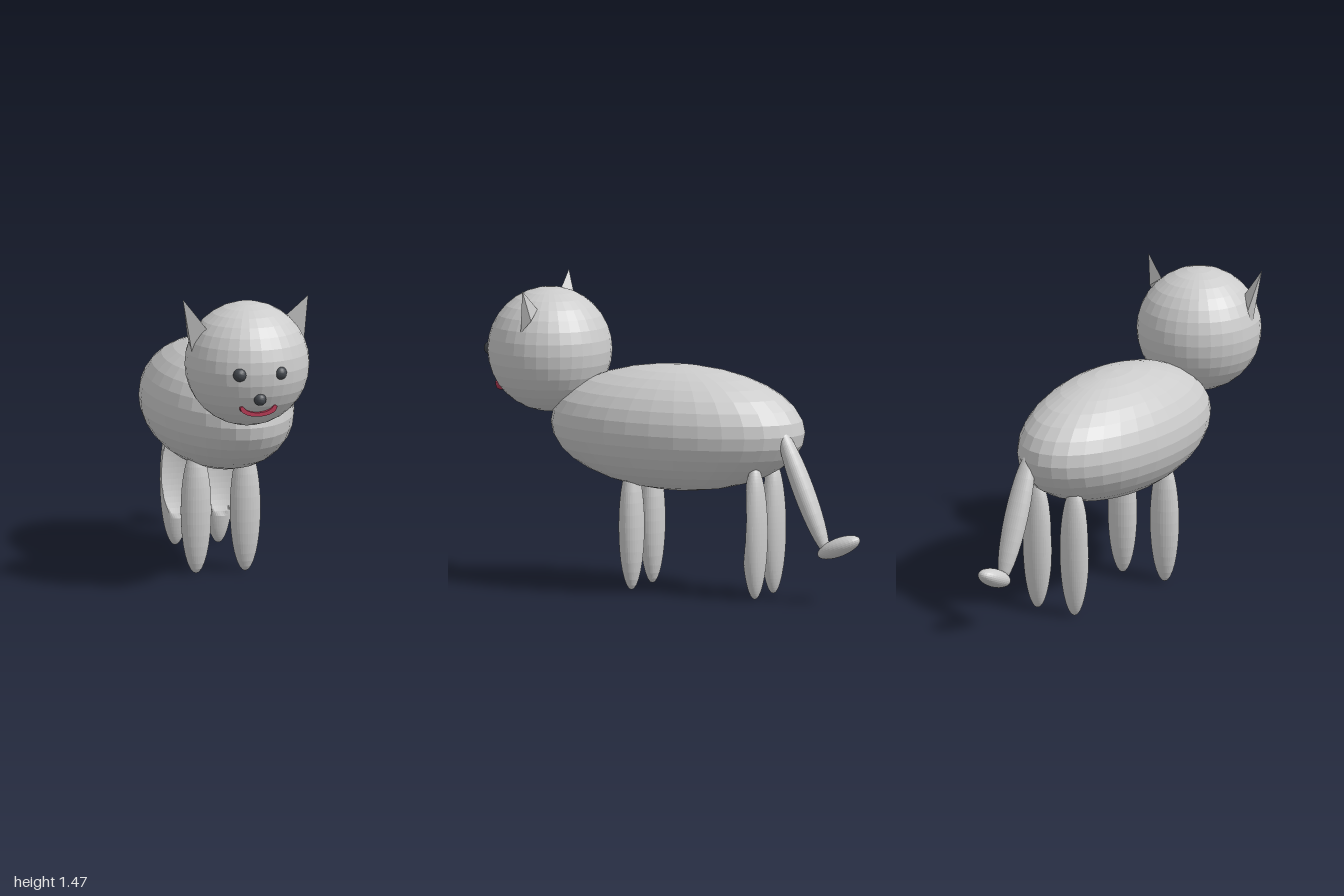
import * as THREE from 'three';
import { ConvexGeometry } from 'three/addons/geometries/ConvexGeometry.js';

const mat = (color) => new THREE.MeshStandardMaterial({ color, flatShading: true });

export function createModel() {
  const group = new THREE.Group();
  const fur = mat(0xcccccc), dark = mat(0x44484e), red = mat(0xb83a55);

  const add = (name, geometry, material) => {
    const mesh = new THREE.Mesh(geometry, material);
    mesh.name = name;
    group.add(mesh);
    return mesh;
  };
  const ellipsoid = (name, [x, y, z], [rx, ry, rz], material = fur, tilt = 0) => {
    const geo = new THREE.SphereGeometry(1, 32, 16).scale(rx, ry, rz);
    const mesh = add(name, geo, material);
    mesh.position.set(x, y, z);
    mesh.rotation.x = tilt;
    return mesh;
  };

  // Body and head
  ellipsoid('body', [0.005, 0.795, 0.005], [0.35, 0.305, 0.655]);
  ellipsoid('head', [-0.022, 1.13, 0.695], [0.302, 0.302, 0.302]);

  // Face
  for (const x of [-0.128, 0.072]) ellipsoid('eye', [x, 1.13, 0.966], [0.033, 0.033, 0.033], dark);
  ellipsoid('nose', [-0.028, 1.005, 0.968], [0.03, 0.03, 0.03], dark);

  // Crescent smile
  const smile = new THREE.Shape();
  smile.moveTo(-0.092, 0.962);
  smile.bezierCurveTo(-0.092, 0.9, 0.092, 0.9, 0.092, 0.962);
  smile.quadraticCurveTo(0.082, 0.975, 0.072, 0.962);
  smile.bezierCurveTo(0.05, 0.925, -0.05, 0.925, -0.072, 0.962);
  smile.quadraticCurveTo(-0.082, 0.975, -0.092, 0.962);
  const mouth = new THREE.ExtrudeGeometry(smile, { depth: 0.045, bevelEnabled: false, curveSegments: 16 });
  add('mouth', mouth, red).position.set(-0.028, 0, 0.9);

  // Pointed ears: tip followed by the base corners
  const ears = {
    rightEar: [[-0.355, 1.47, 0.745], [-0.24, 1.32, 0.765], [-0.305, 1.19, 0.735], [-0.315, 1.27, 0.68]],
    leftEar: [[0.28, 1.45, 0.705], [0.18, 1.35, 0.67], [0.255, 1.24, 0.725], [0.25, 1.3, 0.672]],
  };
  for (const [name, points] of Object.entries(ears)) {
    add(name, new ConvexGeometry(points.map((p) => new THREE.Vector3(...p))), fur);
  }

  // Front legs
  for (const x of [-0.15, 0.095]) ellipsoid('frontLeg', [x, 0.31, 0.21], [0.075, 0.31, 0.06]);

  // Back legs, hollowed along the front
  for (const x of [-0.08, 0.135]) {
    const geo = new THREE.SphereGeometry(1, 40, 36).scale(0.075, 0.325, 0.06);
    const p = geo.attributes.position;
    for (let i = 0; i < p.count; i++) {
      const t = (p.getY(i) - 0.055) / 0.235;
      const scoop = 0.003 + 0.046 * t * t + 0.012 * (p.getX(i) / 0.075) ** 2;
      p.setZ(i, Math.min(p.getZ(i), scoop));
    }
    geo.computeVertexNormals();
    add('backLeg', geo, fur).position.set(x, 0.325, -0.46);
  }

  // Two-part tail
  ellipsoid('tail', [0.095, 0.54, -0.7], [0.06, 0.33, 0.05], fur, 0.39);
  ellipsoid('tailTip', [0.097, 0.275, -0.887], [0.06, 0.045, 0.118], fur, 0.4);

  return group;
}
